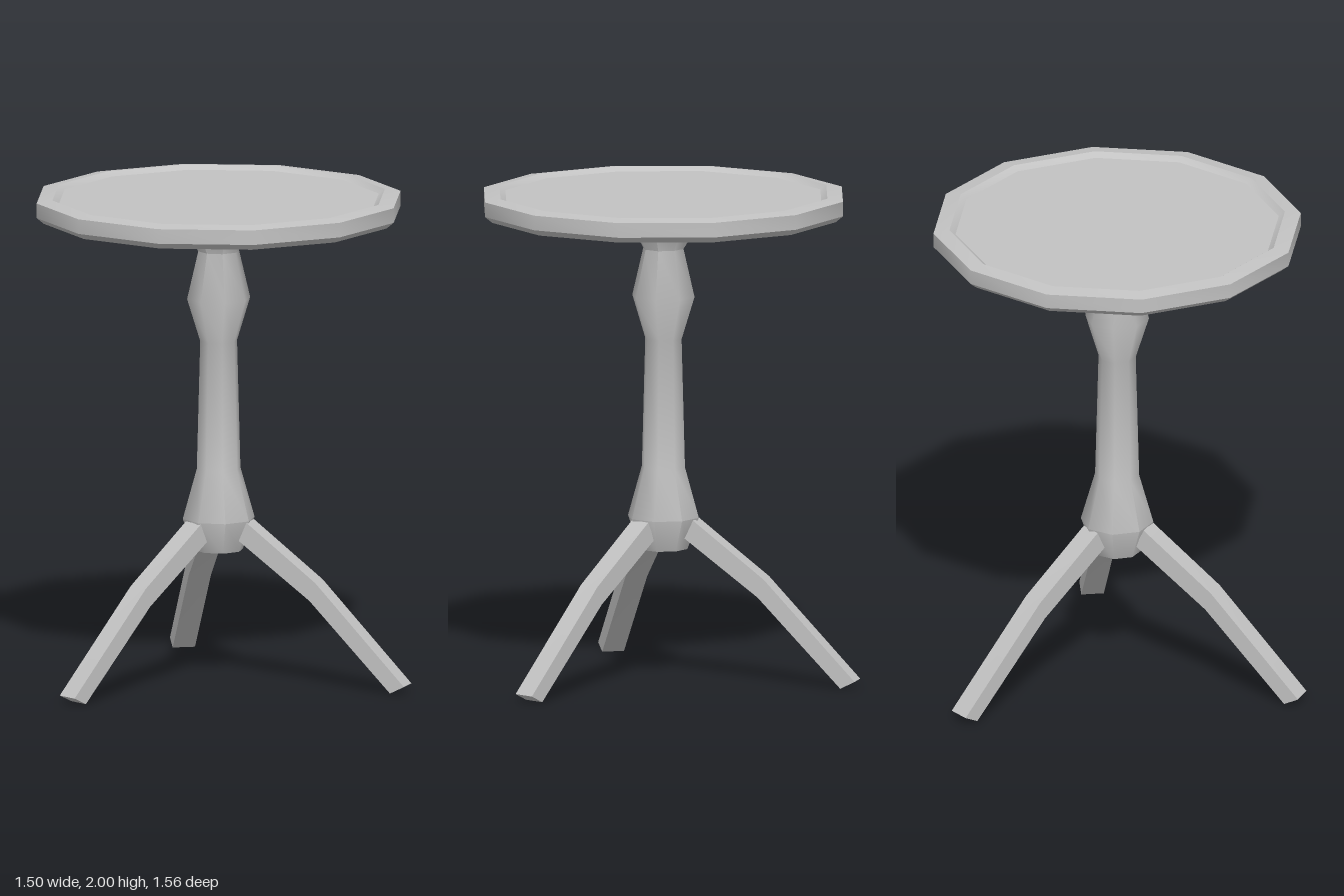
import * as THREE from 'three';
import { toCreasedNormals } from 'three/addons/utils/BufferGeometryUtils.js';

const grey = new THREE.MeshStandardMaterial({ color: 0xc2c2c2 });
grey.name = 'plain grey';

const points = (list) => list.map(([x, y]) => new THREE.Vector2(x, y));

// Turned part with few sides; edges sharper than the crease angle stay hard
function turned(name, profile, sides, crease) {
  const lathe = new THREE.LatheGeometry(points(profile), sides);
  const mesh = new THREE.Mesh(toCreasedNormals(lathe, crease), grey);
  mesh.name = name;
  return mesh;
}

export function createModel() {
  const table = new THREE.Group();
  table.name = 'pedestalTable';

  // Twelve-sided top with chamfered edge and shallow dished surface
  table.add(turned('tabletop', [
    [0, 1.905], [0.72, 1.905], [0.75, 1.93], [0.75, 1.99],
    [0.685, 2], [0.66, 1.982], [0, 1.982],
  ], 12, 0.6));

  // Eight-sided turned column
  table.add(turned('column', [
    [0, 0.54], [0.1, 0.54], [0.148, 0.67], [0.09, 0.875], [0.076, 1.4],
    [0.13, 1.575], [0.084, 1.77], [0.165, 1.905], [0, 1.905],
  ], 8, 0.95));

  // Three bent legs, side outline as radius and height
  const outline = new THREE.Shape(points([
    [0.75, 0], [0.81, 0.03], [0.43, 0.435], [0.135, 0.665], [0.1, 0.59], [0.405, 0.36],
  ]));
  const width = 0.092;
  const legShape = new THREE.ExtrudeGeometry(outline, { depth: width, bevelEnabled: false });
  legShape.translate(0, 0, -width / 2);
  const legGeometry = toCreasedNormals(legShape, 0.4);
  ['backLeg', 'rightLeg', 'leftLeg'].forEach((name, i) => {
    const leg = new THREE.Mesh(legGeometry, grey);
    leg.name = name;
    leg.rotation.y = Math.PI / 2 + (i * Math.PI * 2) / 3;
    table.add(leg);
  });

  // Column axis sits slightly forward so the whole footprint is centred
  table.position.z = 0.03;
  const model = new THREE.Group();
  model.name = 'model';
  model.add(table);
  return model;
}
